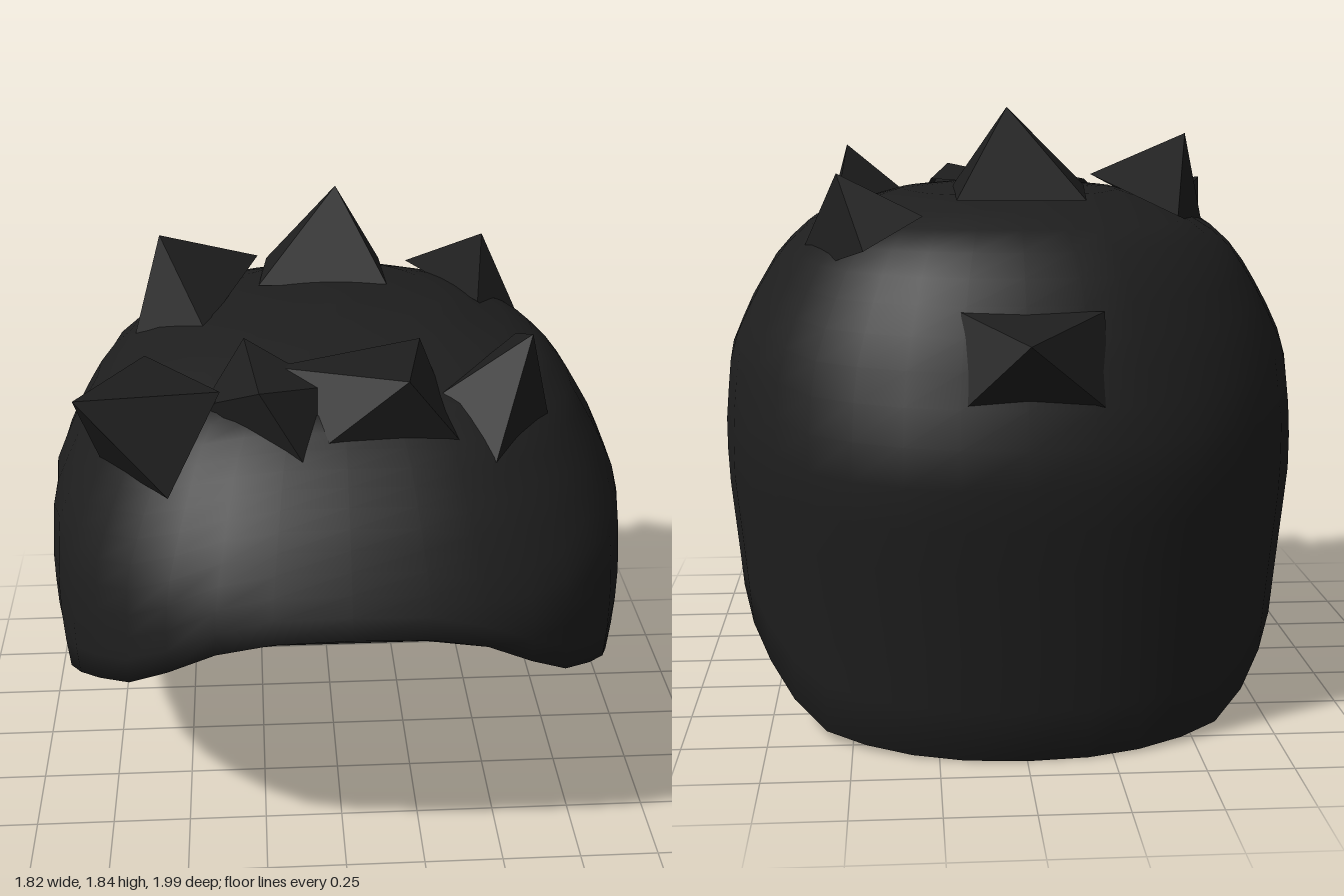
import * as THREE from 'three';

// Linear lookup in rows sorted by falling first value
function lookup(rows, v, col) {
  if (v >= rows[0][0]) return rows[0][col];
  for (let i = 1; i < rows.length; i++) {
    const a = rows[i - 1], b = rows[i];
    if (v >= b[0]) return a[col] + (b[col] - a[col]) * (a[0] - v) / (a[0] - b[0]);
  }
  return rows[rows.length - 1][col];
}

// Height, half width, reach to the front, reach to the back
const SECTIONS = [
  [1.62, 0, 0, 0], [1.59, 0.34, 0.22, 0.42], [1.5, 0.62, 0.58, 0.66], [1.4, 0.73, 0.71, 0.76],
  [1.25, 0.82, 0.85, 0.84], [1.1, 0.89, 0.95, 0.9], [1.0, 0.9, 1.0, 0.93], [0.88, 0.91, 1.0, 0.98],
  [0.72, 0.91, 1.0, 0.97], [0.42, 0.88, 1.0, 0.94], [0.2, 0.86, 1.0, 0.92], [0, 0.86, 1.0, 0.9],
];
// Depth and height of the sloping lower edge
const RIM = [[1, 1.02], [0.93, 0.92], [0.85, 0.79], [0.3, 0.51], [0, 0.4], [-0.2, 0.32], [-0.45, 0.2], [-0.7, 0.03], [-0.9, 0]];

function surfacePoint(angle, y) {
  const s = Math.sin(angle), c = Math.cos(angle);
  const power = c > 0 ? 0.81 : 0.9; // slightly squared ovals
  const curve = (v) => Math.sign(v) * Math.pow(Math.abs(v), power);
  return [curve(s) * lookup(SECTIONS, y, 1), y, curve(c) * lookup(SECTIONS, y, c > 0 ? 2 : 3)];
}

// Find where a column of the shell meets the sloping edge
function rimHeight(angle) {
  let low = 0, high = 1.2;
  for (let i = 0; i < 24; i++) {
    const mid = (low + high) / 2;
    if (mid > lookup(RIM, surfacePoint(angle, mid)[2], 1)) high = mid; else low = mid;
  }
  return (low + high) / 2;
}

// Shell of rings: down the outside to the edge, then up the inside as a lining
function shellGeometry() {
  const around = 36, rows = 18, last = rows * 2 + 1, top = SECTIONS[0][0];
  const positions = [], index = [];
  for (let r = 0; r <= last; r++) {
    const lining = r > rows;
    const t = (lining ? last - r : r) / rows;
    for (let k = 0; k < around; k++) {
      const angle = k / around * Math.PI * 2;
      const p = surfacePoint(angle, top - (top - rimHeight(angle)) * Math.pow(t, 1.7));
      if (lining) {
        p[0] *= 0.95;
        p[1] += 0.01 - 0.05 * Math.max(1 - t, Math.pow(Math.max(0, Math.cos(angle)), 8));
        p[2] *= 0.95;
      }
      positions.push(...p);
    }
  }
  for (let r = 0; r < last; r++) {
    for (let k = 0; k < around; k++) {
      const n = (k + 1) % around;
      const a = r * around + k, b = r * around + n, c = a + around, d = b + around;
      if (r > 0) index.push(a, c, b);
      if (r < last - 1) index.push(b, c, d);
    }
  }
  const g = new THREE.BufferGeometry();
  g.setAttribute('position', new THREE.Float32BufferAttribute(positions, 3));
  g.setIndex(index);
  g.computeVertexNormals();
  // The first and last rings each collapse to one point
  for (let k = 0; k < around; k++) {
    g.attributes.normal.setXYZ(k, 0, 1, 0);
    g.attributes.normal.setXYZ(last * around + k, 0, -1, 0);
  }
  return g;
}

// Four-sided tuft: apex and four base corners
function tuftGeometry(apex, base) {
  const positions = [];
  base.forEach((p, i) => positions.push(...apex, ...p, ...base[(i + 1) % 4]));
  const g = new THREE.BufferGeometry();
  g.setAttribute('position', new THREE.Float32BufferAttribute(positions, 3));
  g.computeVertexNormals();
  return g;
}

// Base corners run anticlockwise as seen from outside
const TUFTS = {
  crownTuft: [[0.03, 1.84, -0.45], [[-0.23, 1.6, -0.18], [0.18, 1.6, -0.17], [0.18, 1.57, -0.5], [-0.2, 1.57, -0.52]]],
  rightCrownTuft: [[-0.54, 1.76, -0.22], [[-0.63, 1.46, -0.07], [-0.4, 1.56, 0.08], [-0.23, 1.64, -0.35], [-0.48, 1.52, -0.47]]],
  leftRearTuft: [[0.53, 1.65, -0.5], [[0.47, 1.55, -0.13], [0.68, 1.33, -0.27], [0.45, 1.44, -0.7], [0.28, 1.53, -0.58]]],
  rightFrontTuft: [[-0.75, 1.59, 0.65], [[-0.71, 1.3, 0.42], [-0.5, 1.32, 0.72], [-0.35, 1.55, 0.52], [-0.58, 1.52, 0.18]]],
  innerRightFrontTuft: [[-0.24, 1.6, 0.65], [[-0.4, 1.5, 0.5], [-0.1, 1.37, 0.7], [-0.04, 1.55, 0.5], [-0.28, 1.6, 0.25]]],
  innerLeftFrontTuft: [[0.17, 1.64, 0.68], [[-0.12, 1.38, 0.64], [0.33, 1.42, 0.62], [0.24, 1.6, 0.28], [-0.2, 1.57, 0.4]]],
  leftFrontTuft: [[0.53, 1.71, 0.53], [[0.27, 1.5, 0.48], [0.42, 1.36, 0.66], [0.63, 1.33, 0.4], [0.55, 1.55, 0.14]]],
  backTuft: [[0, 1.21, -1.0], [[0.18, 1.28, -0.81], [0.18, 1.02, -0.9], [-0.22, 1.02, -0.9], [-0.22, 1.28, -0.81]]],
};

export function createModel() {
  const group = new THREE.Group();
  group.name = 'spikyHair';
  const hair = new THREE.MeshStandardMaterial({ color: 0x1e1e1e, side: THREE.DoubleSide });
  hair.name = 'charcoal hair';

  const shell = new THREE.Mesh(shellGeometry(), hair);
  shell.name = 'hairCap';
  group.add(shell);

  for (const [name, [apex, base]] of Object.entries(TUFTS)) {
    const tuft = new THREE.Mesh(tuftGeometry(apex, base), hair);
    tuft.name = name;
    group.add(tuft);
  }
  return group;
}
